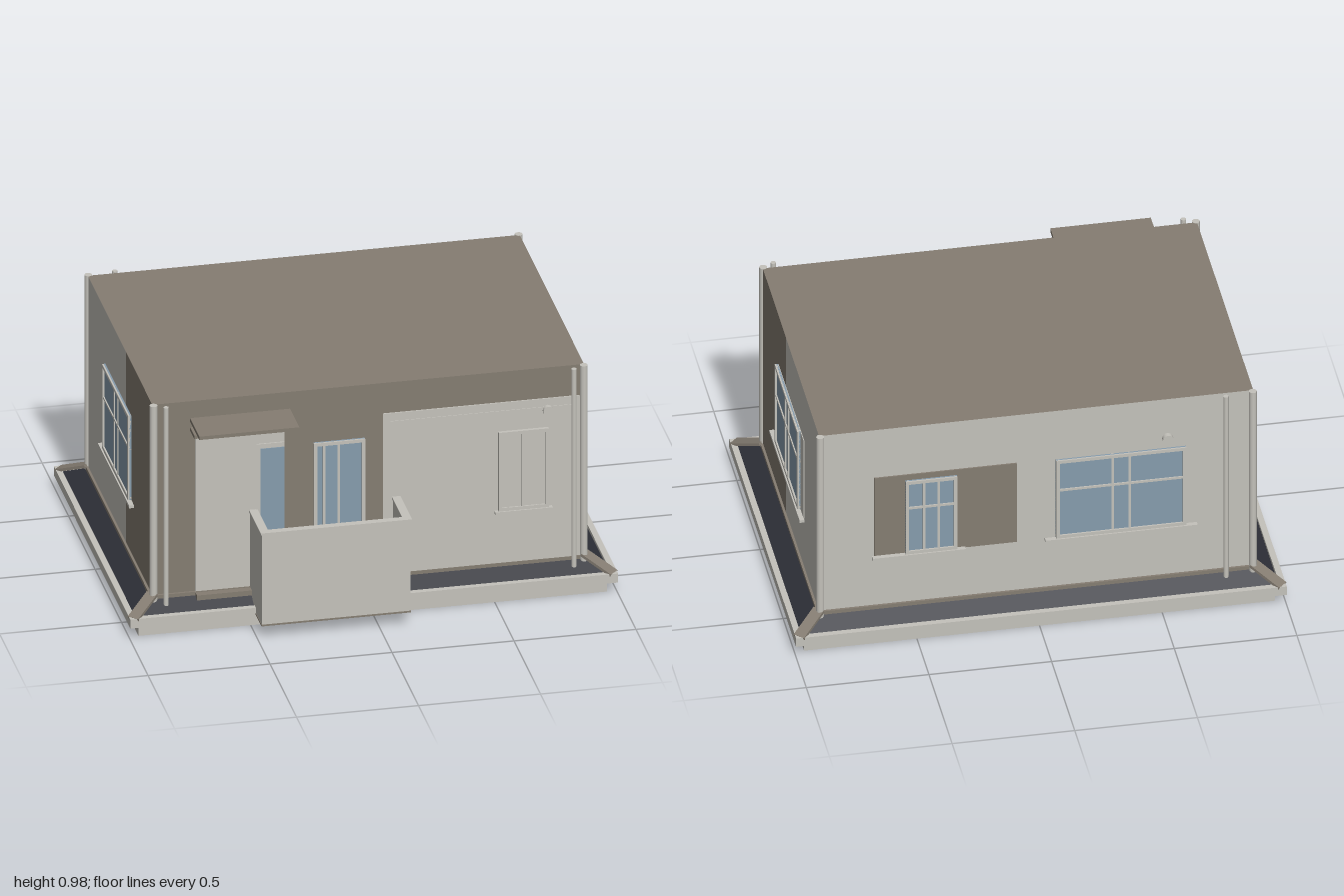
import * as THREE from 'three';

const mat = (name, color, side = THREE.FrontSide) => {
  const m = new THREE.MeshStandardMaterial({ color, side });
  m.name = name;
  return m;
};

// Footprint of the house walls
const HX = 0.885, ZB = -0.665, ZF = 0.55, TOP = 0.98;

export function createModel() {
  const root = new THREE.Group();
  root.name = 'house';
  const light = mat('light plaster', 0xc4c2bb);
  const brown = mat('brown render', 0x857d72);
  const glass = mat('blue glass', 0x869cad);
  const dark = mat('dark slate', 0x2e3038);

  const add = (parent, name, geo, material) => {
    const m = new THREE.Mesh(geo, material);
    m.name = name;
    parent.add(m);
    return m;
  };
  // Box given by its two extreme corners
  const box = (name, material, x0, x1, y0, y1, z0, z1, parent = root) => {
    const m = add(parent, name, new THREE.BoxGeometry(x1 - x0, y1 - y0, z1 - z0), material);
    m.position.set((x0 + x1) / 2, (y0 + y1) / 2, (z0 + z1) / 2);
    return m;
  };
  // Mitred ring round the house from a profile of [distance from wall, height]
  const ring = (name, material, profile) => {
    const pos = [];
    const corner = (i, [d, y]) => {
      const k = i % 4;
      return [k < 2 ? HX + d : -HX - d, y, k === 0 || k === 3 ? ZF + d : ZB - d];
    };
    for (let p = 0; p < profile.length - 1; p++) {
      for (let i = 0; i < 4; i++) {
        const a = corner(i, profile[p]), b = corner(i + 1, profile[p]);
        const c = corner(i + 1, profile[p + 1]), d = corner(i, profile[p + 1]);
        pos.push(...a, ...b, ...c, ...a, ...c, ...d);
      }
    }
    const g = new THREE.BufferGeometry();
    g.setAttribute('position', new THREE.Float32BufferAttribute(pos, 3));
    g.computeVertexNormals();
    return add(root, name, g, material);
  };

  // Base, gutter and sloping skirt roof
  box('plinth', light, -0.96, 0.96, 0, 0.052, -0.74, 0.635);
  ring('gutter', light, [[0.07, 0.05], [0.115, 0.05], [0.115, 0.09], [0.09, 0.09], [0.09, 0.06]]);
  ring('skirtRoof', dark, [[0.09, 0.075], [0, 0.125]]);
  ring('flashing', brown, [[0.01, 0.11], [0.01, 0.135], [0, 0.135]]);

  // Walls in two halves, with a brown flat roof
  box('frontWalls', brown, -HX, HX, 0.05, TOP, 0.05, ZF);
  box('rearWalls', [light, light, brown, light, brown, light], -HX, HX, 0.05, TOP, ZB, 0.05);

  // Corner posts and hip caps
  for (const sx of [-1, 1]) {
    for (const [z, sz] of [[ZF, 1], [ZB, -1]]) {
      const post = add(root, 'cornerPost', new THREE.CylinderGeometry(0.016, 0.016, 0.87, 12), light);
      post.position.set(sx * 0.882, 0.546, z + sz * 0.008);
      const from = new THREE.Vector3(sx * 0.885, 0.14, z);
      const to = new THREE.Vector3(sx * 0.985, 0.085, z + sz * 0.1);
      const hip = add(root, 'hipCap', new THREE.BoxGeometry(0.05, 0.012, from.distanceTo(to)), brown);
      hip.position.copy(from).lerp(to, 0.5);
      hip.lookAt(to);
    }
  }

  // Downpipes
  for (const [x, z] of [[-0.836, 0.584], [0.836, 0.584], [-0.77, -0.688]]) {
    const pipe = add(root, 'downpipe', new THREE.CylinderGeometry(0.011, 0.011, 0.88, 12), light);
    pipe.position.set(x, 0.54, z);
  }

  // Window facing +z about its own centre; bars are local offsets
  const makeWindow = (name, w, h, { vBars = [], hBars = [], pane = glass, sill, at, turn = 0 }) => {
    const g = new THREE.Group();
    g.name = name;
    const a = w / 2, b = h / 2, t = 0.014;
    box('pane', pane, -a, a, -b, b, 0, 0.007, g);
    for (const s of [-1, 1]) {
      box('frameSide', light, s * (a - t / 2) - t / 2, s * (a - t / 2) + t / 2, -b, b, 0, 0.014, g);
      box('frameRail', light, -a, a, s * (b - t / 2) - t / 2, s * (b - t / 2) + t / 2, 0, 0.014, g);
    }
    for (const x of vBars) box('mullion', light, x - 0.005, x + 0.005, -b, b, 0, 0.012, g);
    for (const y of hBars) box('transom', light, -a, a, y - 0.005, y + 0.005, 0, 0.012, g);
    if (sill) box('sill', light, sill[0], sill[1], -b - 0.012, -b, 0, 0.02, g);
    g.position.set(...at);
    g.rotation.y = turn;
    root.add(g);
  };

  // Side windows
  box('windowSurround', light, HX - 0.002, HX + 0.003, 0.37, 0.745, -0.35, 0.21);
  makeWindow('rightSideWindow', 0.49, 0.375, {
    vBars: [-0.035, 0.032], hBars: [0.043], sill: [-0.33, 0.325],
    at: [HX + 0.002, 0.5575, -0.035], turn: Math.PI / 2,
  });
  makeWindow('leftSideWindow', 0.49, 0.375, {
    vBars: [-0.035, 0.032], hBars: [0.043], sill: [-0.295, 0.295],
    at: [-HX, 0.5575, -0.09], turn: -Math.PI / 2,
  });

  // Rear windows
  box('rearPanel', brown, 0.08, 0.66, 0.37, 0.75, ZB - 0.006, ZB);
  makeWindow('rearSmallWindow', 0.21, 0.35, {
    vBars: [-0.03, 0.03], hBars: [0.045], sill: [-0.24, 0.14],
    at: [0.43, 0.55, ZB - 0.006], turn: Math.PI,
  });
  makeWindow('rearLargeWindow', 0.53, 0.375, {
    vBars: [-0.035, 0.035], hBars: [0.043], sill: [-0.31, 0.31],
    at: [-0.345, 0.5575, ZB], turn: Math.PI,
  });

  // Front wall panels, door and windows
  box('frontRightPanel', light, 0.06, 0.866, 0.12, 0.845, ZF, ZF + 0.006);
  box('frontRightInnerPanel', light, 0.09, 0.84, 0.12, 0.81, ZF, ZF + 0.009);
  makeWindow('shutteredWindow', 0.205, 0.35, {
    vBars: [-0.065, -0.005, 0.06], pane: light, sill: [-0.118, 0.118],
    at: [0.633, 0.545, ZF + 0.009],
  });
  box('frontLeftPanel', light, -0.71, -0.345, 0.13, 0.87, ZF, ZF + 0.006);
  box('doorFrame', light, -0.46, -0.345, 0.13, 0.765, ZF, ZF + 0.012);
  box('doorGlass', glass, -0.445, -0.346, 0.15, 0.745, ZF, ZF + 0.015);
  box('doorStep', brown, -0.71, -0.47, 0.11, 0.132, ZF, ZF + 0.04);
  makeWindow('balconyWindow', 0.21, 0.4, {
    vBars: [-0.063, -0.003], sill: [-0.12, 0.12], at: [-0.12, 0.545, ZF],
  });

  // Canopy over the door
  box('canopy', brown, -0.73, -0.32, 0.89, 0.905, ZF, 0.725);
  box('canopyBeam', brown, -0.73, -0.335, 0.85, 0.865, ZF, 0.63);

  // Balcony with parapet and coping
  const balcony = new THREE.Group();
  balcony.name = 'balcony';
  root.add(balcony);
  box('balconyUnderside', brown, -0.487, 0.127, 0.06, 0.067, ZF, 0.777, balcony);
  box('balconyFloor', light, -0.48, 0.12, 0.067, 0.125, ZF, 0.77, balcony);
  for (const [x0, x1, z0] of [[-0.485, -0.46, ZF], [0.1, 0.125, ZF], [-0.485, 0.125, 0.75]]) {
    box('parapet', light, x0, x1, 0.065, 0.468, z0, 0.775, balcony);
    box('coping', light, x0 - 0.005, x1 + 0.005, 0.466, 0.475, z0, 0.78, balcony);
  }

  // Round wall vents
  for (const [x, z] of [[0.735, ZF + 0.015], [-0.535, ZB - 0.012]]) {
    const vent = add(root, 'wallVent', new THREE.CylinderGeometry(0.022, 0.022, 0.02, 16), light);
    vent.rotation.x = Math.PI / 2;
    vent.position.set(x, 0.795, z);
  }
  return root;
}
